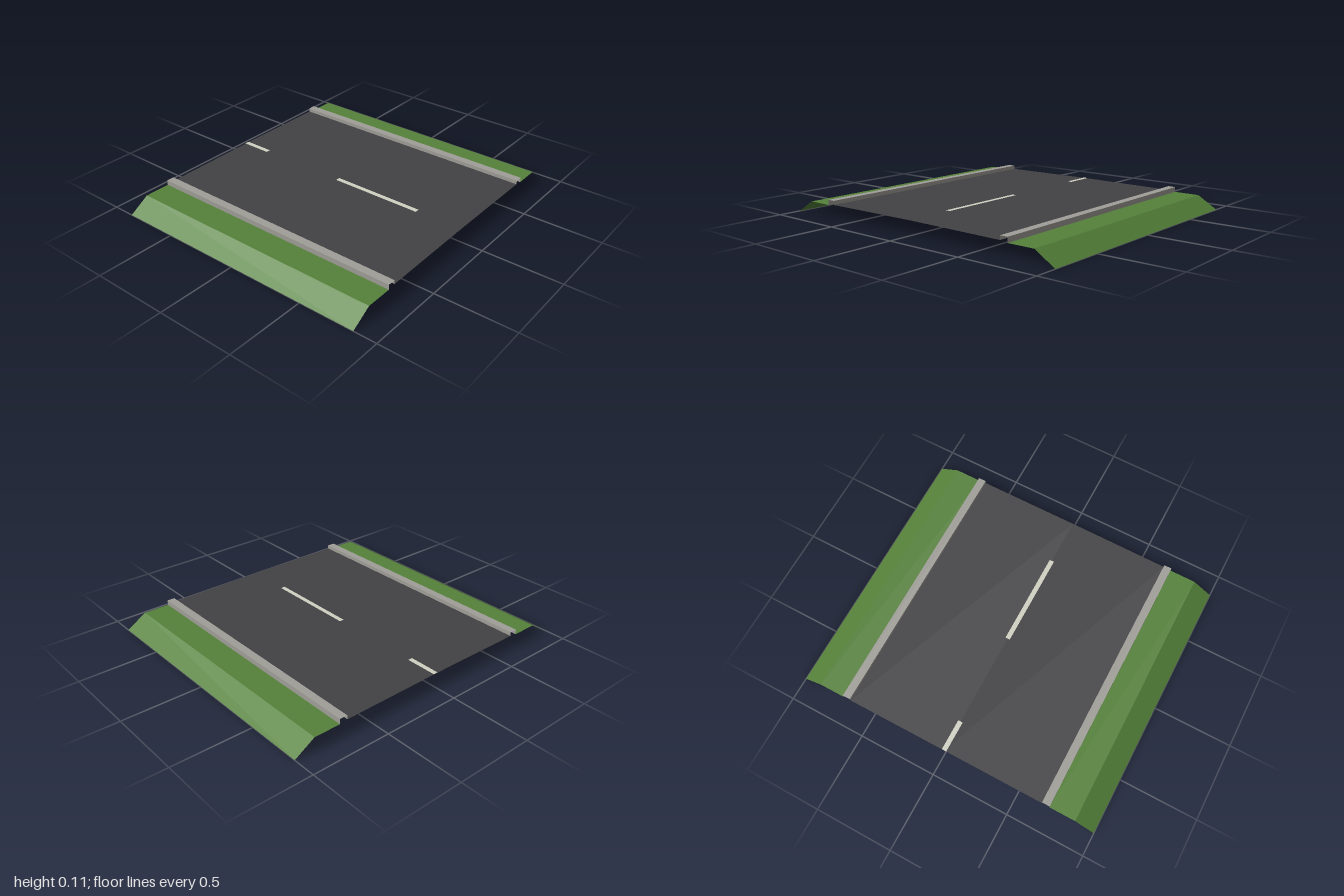
import * as THREE from 'three';

const HALF = 0.855; // half length of the road piece along x

// Sweeps a [z, y] profile along x as an open sheet with hard folds
function sheet(name, color, profile, x0 = -HALF, x1 = HALF) {
  const pos = [];
  for (let i = 0; i < profile.length - 1; i++) {
    const [za, ya] = profile[i], [zb, yb] = profile[i + 1];
    pos.push(x0, ya, za, x0, yb, zb, x1, yb, zb);
    pos.push(x0, ya, za, x1, yb, zb, x1, ya, za);
  }
  const geo = new THREE.BufferGeometry();
  geo.setAttribute('position', new THREE.Float32BufferAttribute(pos, 3));
  geo.computeVertexNormals();
  const mesh = new THREE.Mesh(geo, new THREE.MeshStandardMaterial({ color, side: THREE.DoubleSide }));
  mesh.name = name;
  return mesh;
}

export function createModel() {
  const group = new THREE.Group();
  group.name = 'roadSection';

  // Slightly crowned asphalt
  group.add(sheet('asphalt', 0x424244, [[-0.655, 0.085], [0, 0.089], [0.655, 0.085]]));

  // Centre line dashes, just above the asphalt
  [[-HALF, -0.655], [-0.055, 0.55]].forEach(([x0, x1], i) => {
    group.add(sheet(`centreDash${i + 1}`, 0xd0d0c2, [[-0.015, 0.091], [0.015, 0.091]], x0, x1));
  });

  // Kerb and grass verge on both sides, profiles listed from back to front
  for (const [side, s] of [['front', 1], ['back', -1]]) {
    const mirror = (pts) => (s > 0 ? pts : pts.map(([z, y]) => [-z, y]).reverse());
    group.add(sheet(`${side}Kerb`, 0xa09e98,
      mirror([[0.655, 0.085], [0.655, 0.11], [0.705, 0.11], [0.705, 0.078]])));
    group.add(sheet(`${side}Verge`, 0x55823a,
      mirror([[0.705, 0.078], [0.872, 0.078], [1, 0]])));
  }
  return group;
}
